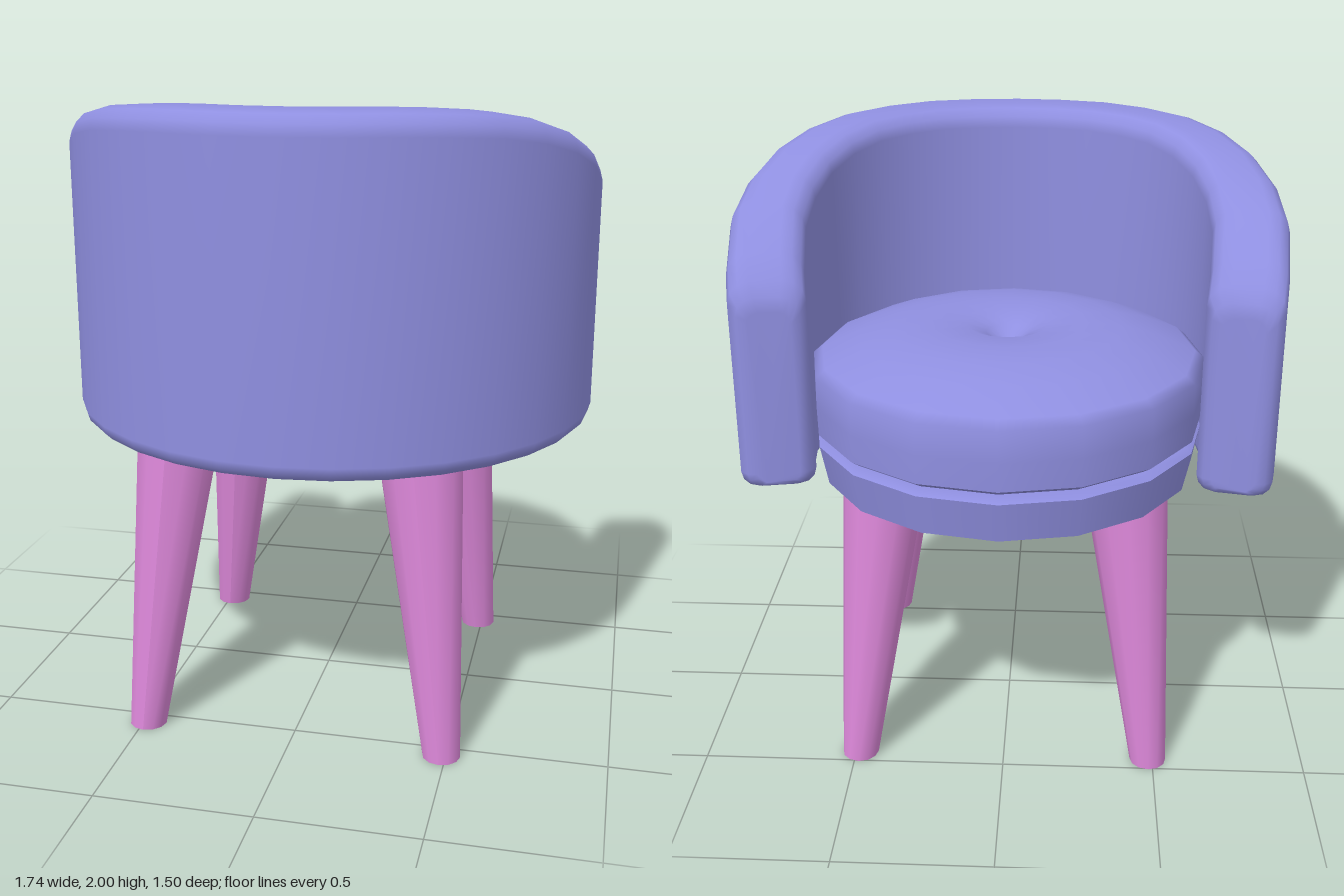
import * as THREE from 'three';

const SEAT_Z = -0.12;

// Closed rounded-rectangle cross-section, as [radius, height] pairs running counter-clockwise
function section(r0, r1, y0, y1, round) {
  const points = [];
  const corners = [[r1, y0, -1, 1, -90], [r1, y1, -1, -1, 0], [r0, y1, 1, -1, 90], [r0, y0, 1, 1, 180]];
  for (const [r, y, sr, sy, start] of corners) {
    const c = sy > 0 ? round * 0.75 : round;
    for (let k = 0; k <= 3; k++) {
      const a = THREE.MathUtils.degToRad(start + k * 30);
      points.push([r + sr * c + c * Math.cos(a), y + sy * c + c * Math.sin(a)]);
    }
  }
  return points;
}

// Curved backrest: cross-sections swept round the seat, sinking towards both arms
function shellGeometry() {
  const step = 11.25;
  const heights = [1.8, 1.865, 1.92, 1.96, 1.985, 1.995, 2, 2, 2];
  // Each station: angle, shift along the sweep, inset, top height
  const arm = [
    [-step, -0.097, 0.05, 1.53],
    [-step, -0.088, 0.022, 1.575],
    [-step, -0.06, 0, 1.62],
    [-step, 0, 0, 1.69],
  ];
  const stations = [...arm];
  for (let i = 0; i <= 16; i++) stations.push([i * step, 0, 0, heights[Math.min(i, 16 - i)]]);
  for (const [a, s, inset, top] of [...arm].reverse()) stations.push([180 - a, -s, inset, top]);

  const positions = [], index = [], n = 16;
  for (const [deg, shift, inset, top] of stations) {
    const a = THREE.MathUtils.degToRad(deg), c = Math.cos(a), s = Math.sin(a);
    const loop = section(0.632 + inset, 0.87 - inset, 0.94 + inset * 0.5, top, 0.07 - inset * 0.6);
    for (const [r, y] of loop) positions.push(r * c - shift * s, y, SEAT_Z + r * s + shift * c);
  }
  for (let i = 0; i < stations.length - 1; i++) {
    for (let j = 0; j < n; j++) {
      const a = i * n + j, b = i * n + (j + 1) % n;
      index.push(a, b, a + n, b, b + n, a + n);
    }
  }
  // Arm end faces
  const last = (stations.length - 1) * n;
  for (let j = 1; j < n - 1; j++) {
    index.push(0, j + 1, j, last, last + j, last + j + 1);
  }
  const geometry = new THREE.BufferGeometry();
  geometry.setAttribute('position', new THREE.Float32BufferAttribute(positions, 3));
  geometry.setIndex(index);
  geometry.computeVertexNormals();
  return geometry;
}

function lathe(profile) {
  return new THREE.LatheGeometry(profile.map(([r, y]) => new THREE.Vector2(r, y)), 16);
}

// Tapered leg whose ends stay level while it leans outwards
function legGeometry(foot, top) {
  const height = 1;
  const geometry = new THREE.CylinderGeometry(0.135, 0.06, height, 12);
  geometry.translate(0, height / 2, 0);
  const p = geometry.attributes.position;
  for (let i = 0; i < p.count; i++) {
    const t = p.getY(i) / height;
    p.setX(i, p.getX(i) + THREE.MathUtils.lerp(foot[0], top[0], t));
    p.setZ(i, p.getZ(i) + THREE.MathUtils.lerp(foot[1], top[1], t));
  }
  geometry.computeVertexNormals();
  return geometry;
}

export function createModel() {
  const group = new THREE.Group();
  const upholstery = new THREE.MeshStandardMaterial({ color: 0x8f8fe0 });
  upholstery.name = 'blue upholstery';
  const legPaint = new THREE.MeshStandardMaterial({ color: 0xdd88da });
  legPaint.name = 'pink legs';

  const add = (name, geometry, material) => {
    const mesh = new THREE.Mesh(geometry, material);
    mesh.name = name;
    group.add(mesh);
    return mesh;
  };

  add('backrest', shellGeometry(), upholstery);

  // Seat base and dimpled cushion, with a groove between them
  add('seatBase', lathe([
    [0, 0.96], [0.605, 0.96], [0.605, 0.96], [0.63, 1.09], [0.63, 1.09], [0.6, 1.11], [0, 1.11],
  ]), upholstery).position.z = SEAT_Z;
  add('seatCushion', lathe([
    [0, 1.11], [0.6, 1.11], [0.6, 1.11], [0.63, 1.13], [0.63, 1.13], [0.632, 1.22], [0.63, 1.32],
    [0.6, 1.345], [0.48, 1.395], [0.37, 1.425], [0.25, 1.435], [0.13, 1.425], [0.07, 1.4],
    [0.025, 1.365], [0, 1.36],
  ]), upholstery).position.z = SEAT_Z;

  // Four splayed legs
  for (const side of [1, -1]) {
    const label = side > 0 ? 'left' : 'right';
    add(label + 'BackLeg', legGeometry([side * 0.485, 0.545], [side * 0.38, 0.44]), legPaint);
    add(label + 'FrontLeg', legGeometry([side * 0.485, -0.445], [side * 0.38, -0.34]), legPaint);
  }
  return group;
}
